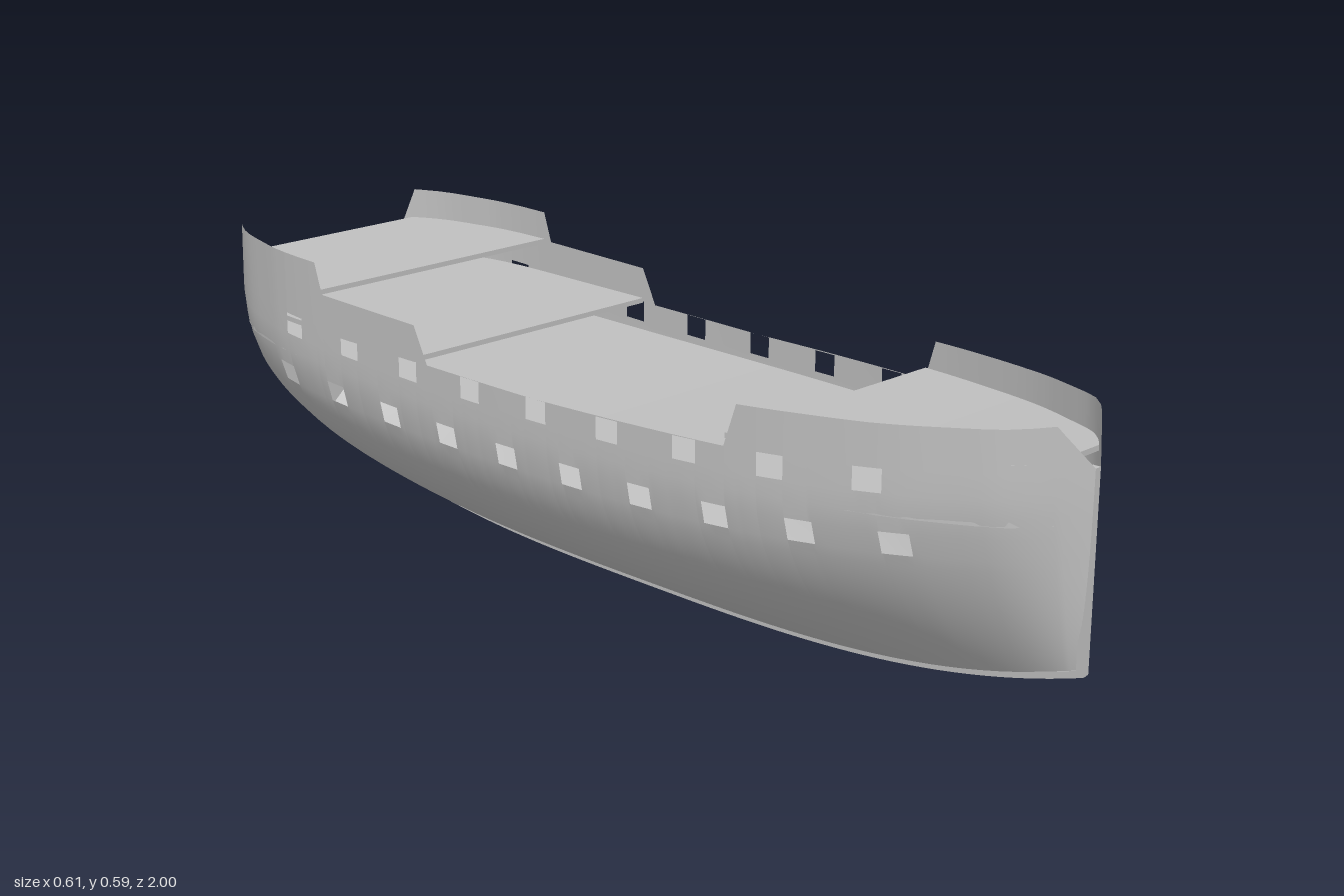
import * as THREE from 'three';

// Piecewise-linear lookup in a list of [z, value] pairs, z rising
function lookup(pts, z) {
  if (z <= pts[0][0]) return pts[0][1];
  for (let i = 1; i < pts.length; i++) {
    const [z0, v0] = pts[i - 1], [z1, v1] = pts[i];
    if (z <= z1) return v0 + (v1 - v0) * (z - z0) / (z1 - z0);
  }
  return pts[pts.length - 1][1];
}

// Half-breadth of the hull along its length, smoothed
const plan = new THREE.SplineCurve([
  [-1, 0.2], [-0.91, 0.255], [-0.82, 0.282], [-0.7, 0.301], [-0.45, 0.303], [-0.2, 0.301], [0, 0.297],
  [0.22, 0.287], [0.44, 0.267], [0.6, 0.237], [0.73, 0.202], [0.83, 0.16], [0.91, 0.118], [0.96, 0.06], [1, 0.007],
].map(([z, x]) => new THREE.Vector2(z, x))).getPoints(160).map(p => [p.x, p.y]);

// Bulwark top, stepping between forecastle, waist, quarterdeck and poop
const rail = [
  [-1, 0.455], [-0.955, 0.592], [-0.62, 0.583], [-0.6, 0.522], [-0.325, 0.515], [-0.29, 0.444],
  [0, 0.441], [0.435, 0.449], [0.46, 0.527], [0.7, 0.538], [0.96, 0.555], [1, 0.482],
];

const keelY = z => 0.005 + 0.12 * Math.abs(z) ** 3;

// Hull half-width at height y of station z: V-shaped at the bow, rounder amidships
function halfWidth(z, y) {
  const k = keelY(z), top = 0.38 + 0.07 * z * z;
  const t = THREE.MathUtils.clamp((y - k) / (top - k), 0, 1);
  const power = 2.4 - (z > 0 ? 1.1 : 0.4) * z * z;
  return lookup(plan, z) * (1 - (1 - t) ** power);
}

// Two rows of square ports following the sheer
const W = 0.025, H = 0.021;
const ports = {
  lower: { y: z => 0.313 + 0.035 * z * z, z: [] },
  upper: { y: z => 0.42 + 0.042 * z * z, z: [] },
};
for (let i = 0; i < 10; i++) ports.lower.z.push(-0.74 + i * 0.1645);
for (let i = 0; i < 9; i++) ports.upper.z.push(-0.696 + i * 0.1745);

function stations() {
  const list = rail.map(r => r[0]);
  for (let i = 0; i <= 64; i++) list.push(-1 + i / 32);
  for (const row of Object.values(ports)) for (const z of row.z) list.push(z - W, z + W);
  list.sort((a, b) => a - b);
  return list.filter((z, i) => i === 0 || z - list[i - 1] > 1e-4);
}

// Heights of the plating rows at one station
const LOW = 18;
function levels(z) {
  const k = keelY(z), lo = ports.lower.y(z), up = ports.upper.y(z), top = lookup(rail, z);
  const ys = [];
  for (let j = 0; j <= LOW; j++) ys.push(k + (lo - H - k) * (j / LOW) ** 1.5);
  ys.push(lo + H, (lo + up) / 2, up - H, up + H, top);
  return ys.map(y => Math.min(y, top));
}

function geometry(pos, idx) {
  const g = new THREE.BufferGeometry();
  g.setAttribute('position', new THREE.Float32BufferAttribute(pos, 3));
  g.setIndex(idx);
  g.computeVertexNormals();
  return g;
}

// One side of the shell, leaving out the port cells
function hullSide(side) {
  const zs = stations(), rows = LOW + 6, pos = [], idx = [];
  for (const z of zs) for (const y of levels(z)) pos.push(side * halfWidth(z, y), y, z);
  for (let i = 0; i < zs.length - 1; i++) {
    const mid = (zs[i] + zs[i + 1]) / 2;
    const inPort = row => row.z.some(z => Math.abs(z - mid) < W);
    for (let j = 0; j < rows - 1; j++) {
      if (j === LOW && inPort(ports.lower)) continue;
      if (j === LOW + 3 && inPort(ports.upper)) continue;
      const a = i * rows + j, b = a + 1, c = a + rows, d = c + 1;
      if (side > 0) idx.push(a, b, c, b, d, c);
      else idx.push(a, c, b, b, c, d);
    }
  }
  return geometry(pos, idx);
}

// Rectangular section swept along z: half-width, bottom and top are functions of z
function sweep(z0, z1, n, width, bottom, top) {
  const pos = [], idx = [];
  for (let i = 0; i <= n; i++) {
    const z = z0 + (z1 - z0) * i / n, w = width(z), b = bottom(z), t = top(z);
    pos.push(-w, b, z, w, b, z, w, t, z, -w, t, z);
  }
  for (let i = 0; i < n; i++) for (let j = 0; j < 4; j++) {
    const a = i * 4 + j, b = i * 4 + (j + 1) % 4, c = a + 4, d = b + 4;
    idx.push(a, b, c, b, d, c);
  }
  const e = n * 4;
  idx.push(0, 2, 1, 0, 3, 2, e, e + 1, e + 2, e, e + 2, e + 3);
  const flat = geometry(pos, idx).toNonIndexed();
  flat.computeVertexNormals();
  return flat;
}

export function createModel() {
  const ship = new THREE.Group();
  ship.name = 'shipHull';
  const grey = new THREE.MeshStandardMaterial({ color: 0xbfbfbf, side: THREE.DoubleSide });
  grey.name = 'light grey';
  const add = (name, geo) => {
    const mesh = new THREE.Mesh(geo, grey);
    mesh.name = name;
    ship.add(mesh);
  };

  add('hullLeft', hullSide(1));
  add('hullRight', hullSide(-1));

  // Flat transom closing the stern
  const half = levels(-1).map(y => new THREE.Vector2(halfWidth(-1, y), y));
  const outline = [...half, ...half.slice(1).reverse().map(p => new THREE.Vector2(-p.x, p.y))];
  const transom = new THREE.ShapeGeometry(new THREE.Shape(outline));
  transom.rotateY(Math.PI);
  transom.translate(0, 0, -1);
  add('transom', transom);

  // Decks: open-ended slabs fitted to the shell
  const deck = (name, z0, z1, height) => add(name, sweep(z0, z1, 40,
    z => Math.max(halfWidth(z, height(z)) - 0.001, 0.002), z => height(z) - 0.01, height));
  deck('mainDeck', -0.99, 0.96, z => 0.385 + 0.012 * z * z);
  deck('quarterDeck', -0.998, -0.325, z => 0.452 + 0.008 * z * z);
  deck('poopDeck', -0.96, -0.62, z => 0.523 + 0.008 * z * z);
  deck('forecastleDeck', 0.437, 0.955, z => 0.467 + 0.03 * z * z);

  // Keel and stem
  add('keel', sweep(-0.998, 0.998, 60, () => 0.004, z => keelY(z) - 0.005, z => keelY(z) + 0.008));
  add('stem', sweep(0.985, 1, 1, () => 0.007, () => 0.122, () => 0.482));
  return ship;
}
